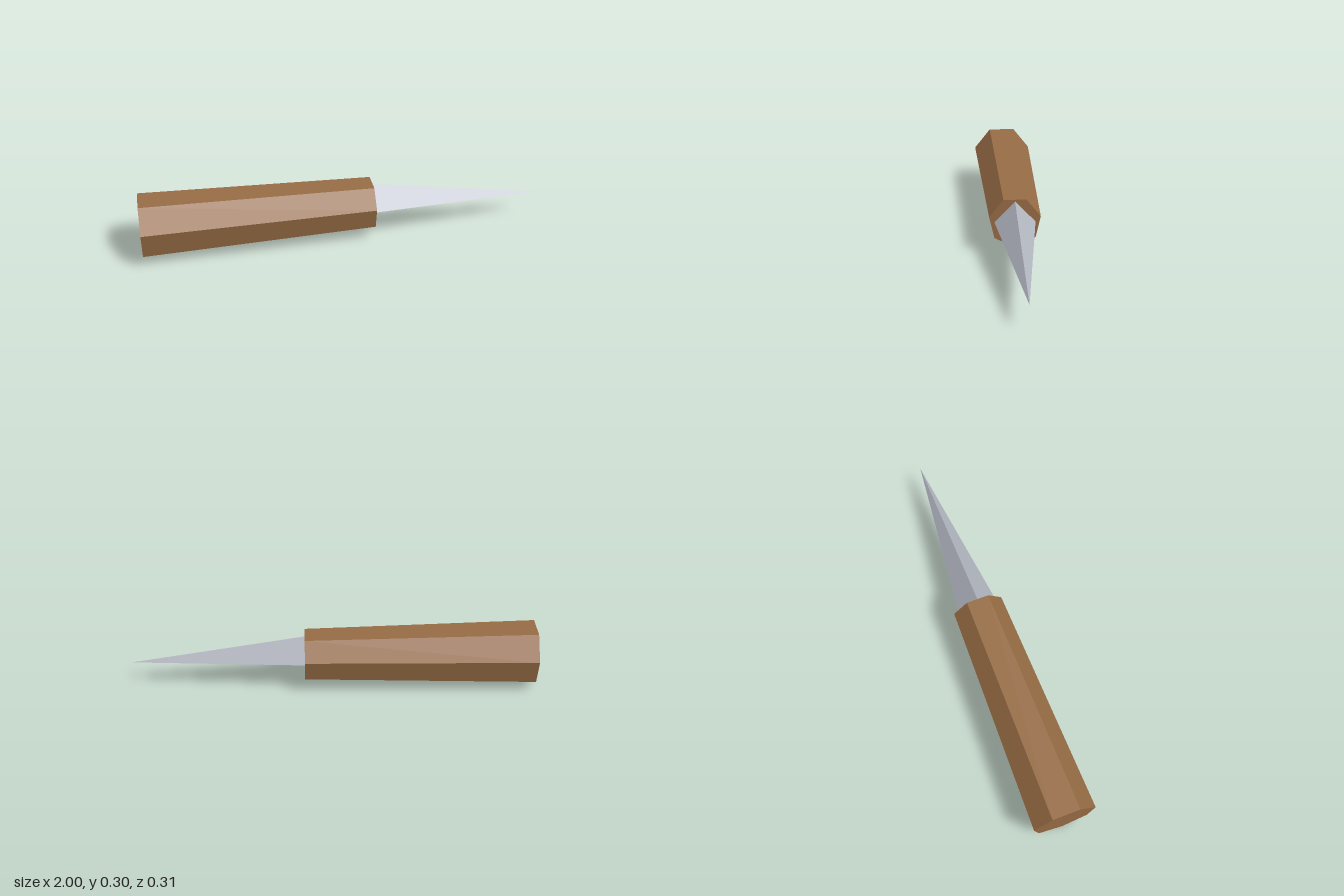
import * as THREE from 'three';

export function createModel() {
  const model = new THREE.Group();
  model.name = 'awl';

  const wood = new THREE.MeshStandardMaterial({ color: 0x966b44, flatShading: true });
  wood.name = 'wood';
  const steel = new THREE.MeshStandardMaterial({ color: 0xb0b4be, flatShading: true });
  steel.name = 'steel';

  // Seven-sided handle, tapering towards the blade, with one edge pointing down
  const start = -1, end = 0.14, axisY = 0.158;
  const handleShape = new THREE.CylinderGeometry(0.1285, 0.158, end - start, 7, 1, false, Math.PI / 2);
  handleShape.rotateZ(-Math.PI / 2);
  const handle = new THREE.Mesh(handleShape, wood);
  handle.name = 'handle';
  handle.position.set((start + end) / 2, axisY, 0);
  model.add(handle);

  // Three-sided blade: ridge on top, flat underside, all meeting at the tip
  const ridge = [end, 0.265, 0];
  const front = [end, 0.16, 0.1];
  const back = [end, 0.16, -0.1];
  const tip = [1, 0.125, 0];
  const faces = [ridge, front, tip, ridge, tip, back, front, back, tip, ridge, back, front];
  const bladeShape = new THREE.BufferGeometry();
  bladeShape.setAttribute('position', new THREE.Float32BufferAttribute(faces.flat(), 3));
  bladeShape.computeVertexNormals();
  const blade = new THREE.Mesh(bladeShape, steel);
  blade.name = 'blade';
  model.add(blade);

  return model;
}
